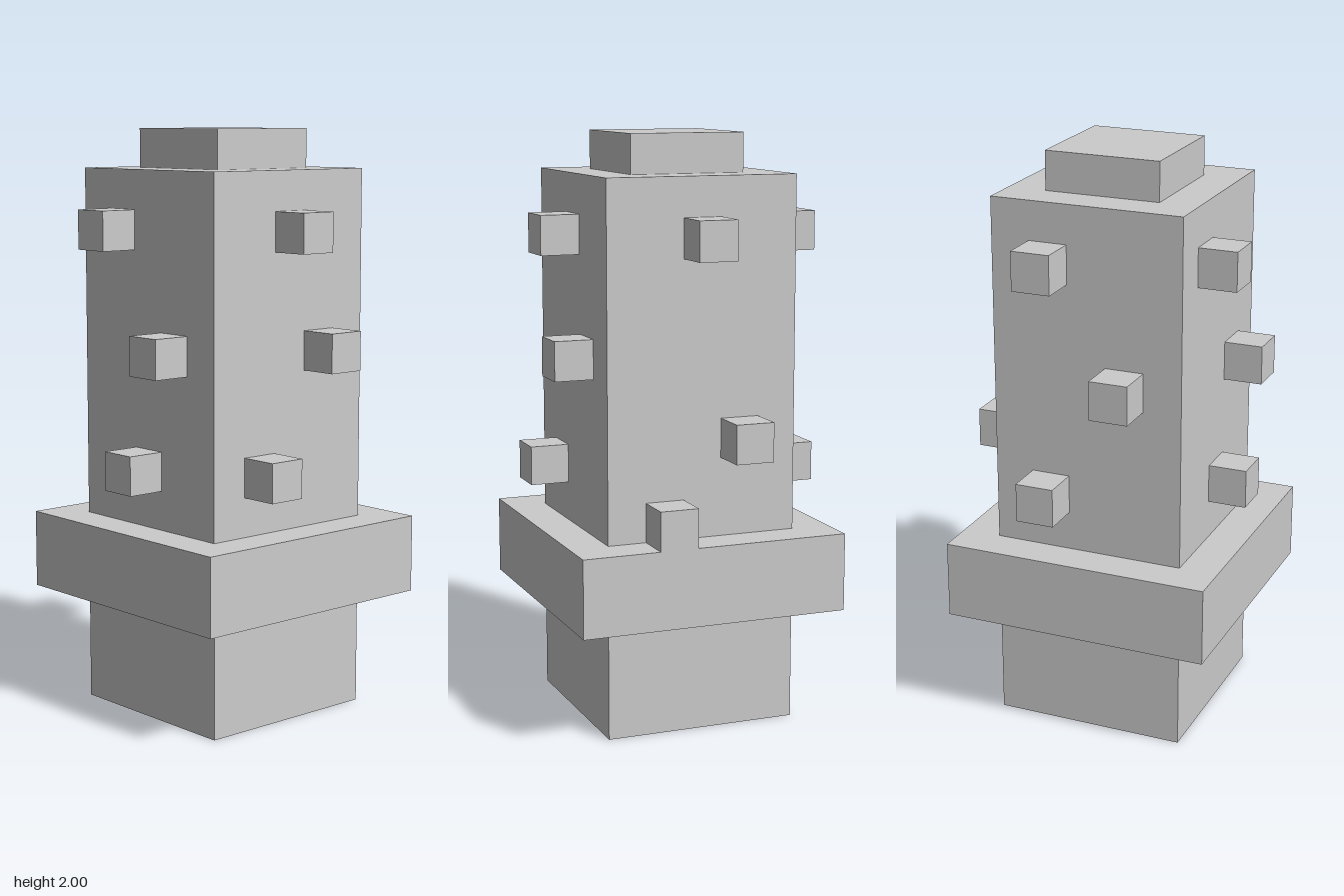
import * as THREE from 'three';

const U = 2 / 15; // one block unit

export function createModel() {
  const model = new THREE.Group();
  model.name = 'studdedTower';
  const material = new THREE.MeshStandardMaterial({ color: 0xcccccc, flatShading: true });

  // Box in block units: square footprint, resting at the given height
  function block(name, width, height, x, bottom, z) {
    const mesh = new THREE.Mesh(new THREE.BoxGeometry(width * U, height * U, width * U), material);
    mesh.name = name;
    mesh.position.set(x * U, (bottom + height / 2) * U, z * U);
    model.add(mesh);
  }

  // Stacked body
  block('base', 5, 3, 0, 0, 0);
  block('collar', 7, 2, 0, 3, 0);
  block('shaft', 5, 9, 0, 5, 0);
  block('cap', 3, 1, 0, 14, 0);

  // Studs on each side: [offset along the face, bottom height]
  const studs = {
    front: [[0, 12], [1, 9], [-1, 6]],
    back: [[1, 12], [-1, 9], [1, 6]],
    left: [[0, 12], [-1, 7], [1, 5]],
    right: [[-1, 12], [1, 9], [0, 6]],
  };
  const place = {
    front: (s) => [s, 3],
    back: (s) => [s, -3],
    left: (s) => [3, s],
    right: (s) => [-3, s],
  };
  for (const side in studs) {
    studs[side].forEach(([offset, bottom], i) => {
      const [x, z] = place[side](offset);
      block(`${side}Stud${i + 1}`, 1, 1, x, bottom, z);
    });
  }

  return model;
}
